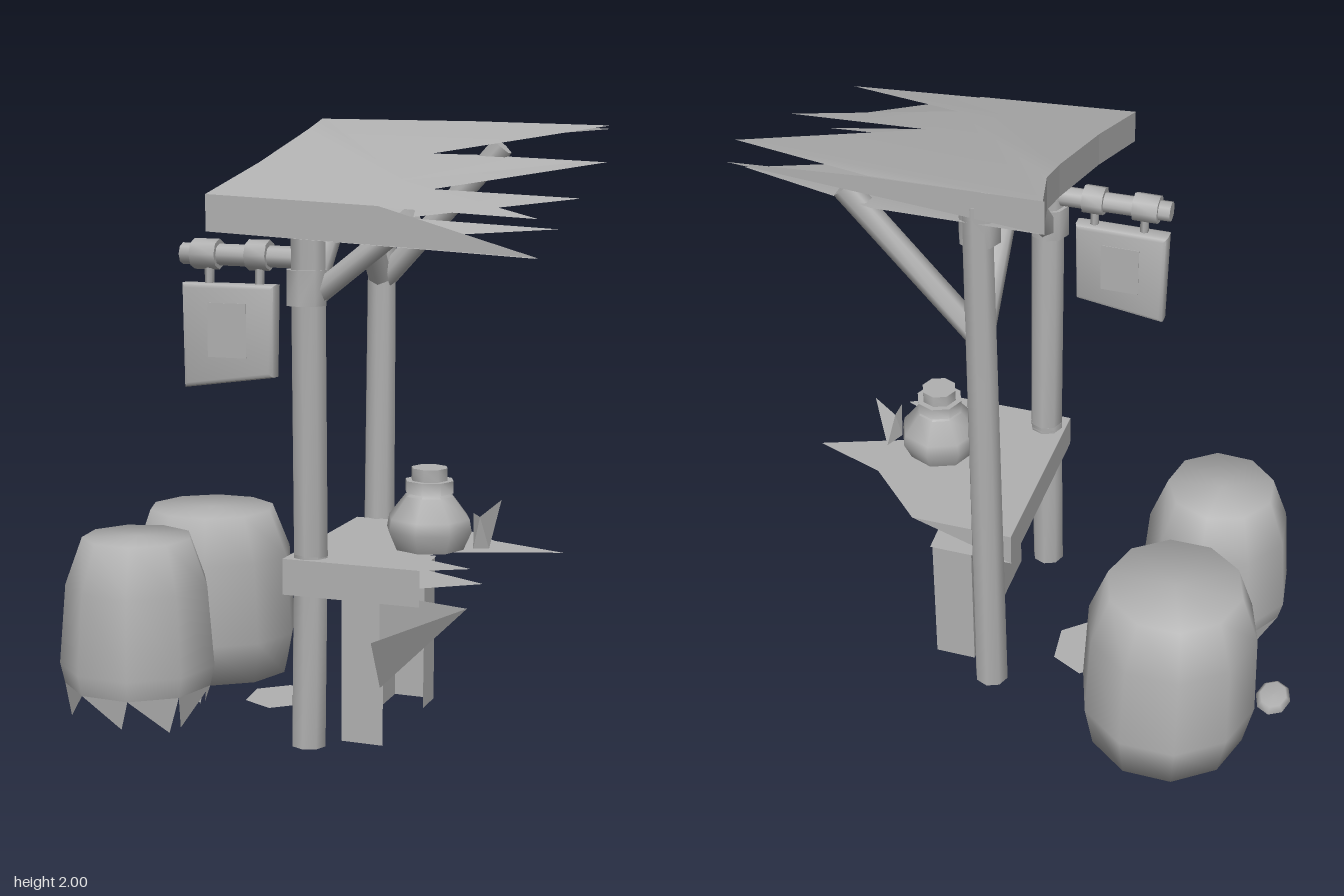
import * as THREE from 'three';
import { toCreasedNormals } from 'three/addons/utils/BufferGeometryUtils.js';

const stone = new THREE.MeshStandardMaterial({ color: 0xb0b0b0, side: THREE.DoubleSide });
stone.name = 'plain grey';
const V = (p) => new THREE.Vector3(...p);

function add(parent, name, geometry, x = 0, y = 0, z = 0) {
  const mesh = new THREE.Mesh(geometry, stone);
  mesh.name = name;
  mesh.position.set(x, y, z);
  parent.add(mesh);
  return mesh;
}

// Round timber between two points
function timber(parent, name, a, b, r0, r1 = r0, sides = 8) {
  const from = V(a), to = V(b), dir = to.clone().sub(from);
  const geo = toCreasedNormals(new THREE.CylinderGeometry(r1, r0, dir.length(), sides), 1.1);
  const mesh = add(parent, name, geo);
  mesh.position.copy(from).add(to).multiplyScalar(0.5);
  mesh.quaternion.setFromUnitVectors(new THREE.Vector3(0, 1, 0), dir.normalize());
  return mesh;
}

// Smooth turned form from [radius, height] pairs
function turned(profile, sides) {
  return new THREE.LatheGeometry(profile.map(([r, y]) => new THREE.Vector2(r, y)), sides);
}

// Loose triangles, three points each
function triangles(points) {
  const geo = new THREE.BufferGeometry();
  geo.setAttribute('position', new THREE.Float32BufferAttribute(points.flat(), 3));
  geo.computeVertexNormals();
  return geo;
}

const quad = (a, b, c, d) => [a, b, c, a, c, d];

// Flat sheet from an [x, z] outline, its height given by a rule
function sheet(outline, height) {
  const geo = new THREE.ShapeGeometry(new THREE.Shape(outline.map(([x, z]) => new THREE.Vector2(x, -z))));
  geo.rotateX(-Math.PI / 2);
  const p = geo.attributes.position;
  for (let i = 0; i < p.count; i++) p.setY(i, height(p.getX(i), p.getZ(i)));
  geo.computeVertexNormals();
  return geo;
}

function roof(parent) {
  const top = (x, z) => Math.min(2, 1.775 + (0.64 - z) * 0.257) - (0.037 + 0.04 * z) * Math.max(0, x);
  const low = (x, z) => top(x, z) - 0.11;
  const edge = [[-0.095, -0.375], [-0.065, -0.24], [-0.06, -0.1], [-0.07, 0.3], [-0.1, 0.64]];
  add(parent, 'roofTop', sheet([...edge, [0.91, 0.64], [0.44, 0.4], [0.91, 0.13], [0.44, 0.12],
    [0.91, -0.26], [0.44, -0.37]], top));
  add(parent, 'roofUnderside', sheet([...edge, [0.91, 0.64], [0.6, 0.52], [0.91, 0.4], [0.44, 0.4],
    [0.91, 0.13], [0.44, 0.12], [0.91, -0.22], [0.44, -0.365]], low));
  // Closed end at the side
  const at = (q, f) => [q[0], f(...q), q[1]];
  const side = [];
  for (let i = 0; i < edge.length - 1; i++) {
    const [a, b] = [edge[i], edge[i + 1]];
    side.push(...quad(at(a, low), at(b, low), at(b, top), at(a, top)));
  }
  add(parent, 'roofEnd', triangles(side));
  // Tapering front and back boards
  const board = (name, z, tip) => add(parent, name, triangles(
    quad([-0.1, low(-0.1, z), z], tip, [0.44, top(0.44, z), z], [-0.1, top(-0.1, z), z])));
  board('frontRoofBoard', 0.64, [0.91, 1.61, 0.64]);
  board('backRoofBoard', -0.375, [0.89, 1.965, -0.375]);
}

function frame(parent) {
  // Posts with collars and caps
  timber(parent, 'frontPostLower', [0.115, 0.02, 0.35], [0.12, 0.66, 0.345], 0.057);
  timber(parent, 'frontPostUpper', [0.12, 0.64, 0.345], [0.12, 1.74, 0.372], 0.057);
  timber(parent, 'frontPostCollar', [0.115, 1.43, 0.37], [0.115, 1.54, 0.37], 0.066);
  timber(parent, 'frontPostCap', [0.12, 1.64, 0.37], [0.12, 1.72, 0.37], 0.066);
  timber(parent, 'backPost', [0.115, 0.02, -0.32], [0.12, 1.94, -0.33], 0.058, 0.048);
  timber(parent, 'backPostCap', [0.12, 1.8, -0.31], [0.12, 1.92, -0.31], 0.066);
  // Diagonal braces
  timber(parent, 'frontBrace', [0.12, 1.46, 0.345], [0.12, 1.86, -0.02], 0.04, 0.04, 6);
  timber(parent, 'backBrace', [0.12, 1.44, -0.33], [0.12, 1.86, 0], 0.04, 0.04, 6);
  timber(parent, 'frontSideBrace', [0.13, 1.45, 0.36], [0.46, 1.71, 0.36], 0.037, 0.037, 6);
  timber(parent, 'backSideBrace', [0.13, 1.46, -0.32], [0.54, 1.91, -0.32], 0.04, 0.04, 6);
}

function sign(parent) {
  const z = 0.37;
  timber(parent, 'signBeam', [-0.3, 1.58, z], [0.12, 1.575, z], 0.034);
  for (const [x0, x1] of [[-0.26, -0.175], [-0.075, -0.005]])
    timber(parent, 'signBeamCollar', [x0, 1.58, z], [x1, 1.58, z], 0.048);
  for (const x of [-0.21, -0.04])
    timber(parent, 'signHanger', [x, 1.47, z], [x, 1.56, z], 0.015, 0.015, 6);
  // Slightly skewed hanging board
  const board = new THREE.Shape();
  board.moveTo(-0.275, 1.175);
  for (const [x, y] of [[0, 1.215], [0.005, 1.475], [-0.28, 1.475]]) board.lineTo(x, y);
  board.closePath();
  const geo = new THREE.ExtrudeGeometry(board, {
    depth: 0.034, bevelSize: 0.015, bevelThickness: 0.015, bevelSegments: 2 });
  add(parent, 'signBoard', toCreasedNormals(geo, 0.8), 0, 0, z - 0.017);
  for (const dz of [-0.032, 0.032])
    add(parent, 'signPanel', new THREE.BoxGeometry(0.13, 0.17, 0.004), -0.138, 1.345, z + dz);
}

function counter(parent) {
  // Hollow worktop, splintered along its outer edge
  const hi = 0.635, lo = 0.52;
  add(parent, 'worktopTop', sheet([[0.05, 0.41], [0.5, 0.41], [0.64, 0.33], [0.44, 0.24], [0.5, 0.14],
    [0.85, 0.01], [0.6, -0.08], [0.4, -0.28], [0.05, -0.28]], () => hi));
  add(parent, 'worktopUnderside', sheet([[0.05, 0.41], [0.5, 0.41], [0.35, 0.24], [0.6, 0.05],
    [0.35, -0.08], [0.34, -0.28], [0.05, -0.28]], () => lo));
  add(parent, 'worktopSide', triangles(
    quad([0.05, lo, -0.28], [0.05, lo, 0.41], [0.05, hi, 0.41], [0.05, hi, -0.28])));
  add(parent, 'worktopFront', triangles(
    quad([0.05, lo, 0.41], [0.5, lo, 0.41], [0.5, hi, 0.41], [0.05, hi, 0.41])));
  add(parent, 'worktopBack', triangles([[0.05, lo, -0.28], [0.05, hi, -0.28], [0.4, hi, -0.28]]));
  // Base panel, mostly open toward the outer side
  const [x0, x1, z0, z1, y0] = [0.2, 0.34, -0.26, 0.28, 0.02];
  add(parent, 'basePanel', triangles([
    ...quad([x0, y0, z0], [x0, y0, z1], [x0, lo, z1], [x0, lo, z0]),
    ...quad([x0, y0, z1], [x1, y0, z1], [x1, lo, z1], [x0, lo, z1]),
    ...quad([x1, y0, z0], [x0, y0, z0], [x0, lo, z0], [x1, lo, z0]),
    ...quad([x1, y0, -0.14], [x1, y0, z0], [x1, lo, z0], [x1, lo, -0.15]),
  ]));
  // Slanting bracket under the worktop
  const foot = [0.33, 0.21, 0.28], tip = [0.64, 0.52, 0.37];
  add(parent, 'bracket', triangles([foot, tip, [0.33, 0.52, 0.29], foot, tip, [0.33, 0.38, 0.37]]));
}

function jar(parent) {
  const geo = turned([[0, 0.64], [0.115, 0.64], [0.142, 0.7], [0.135, 0.74], [0.08, 0.81],
    [0.065, 0.82], [0.08, 0.82], [0.08, 0.86], [0.06, 0.86], [0.06, 0.9], [0, 0.9]], 8);
  add(parent, 'jar', toCreasedNormals(geo, 1.1), 0.433, 0, 0.105);
  // Broken piece beside the jar
  const a = [0.585, 0.65, 0.12], b = [0.62, 0.64, 0.06], c = [0.6, 0.75, 0.1];
  const d = [0.67, 0.81, 0.1], e = [0.59, 0.77, 0.14];
  add(parent, 'shard', triangles([a, b, c, b, d, c, a, c, e]));
}

function barrels(parent) {
  // Whole barrel, leaning a little
  const back = turned([[0, 0.02], [0.265, 0.02], [0.297, 0.17], [0.285, 0.46], [0.225, 0.62], [0, 0.622]], 10);
  back.rotateY(Math.PI / 2);
  back.applyMatrix4(new THREE.Matrix4().makeShear(0, 0, 0, 0.06, 0, 0));
  add(parent, 'backBarrel', back, -0.525, 0, -0.368);

  // Barrel with a jagged open bottom
  const sides = 9, group = new THREE.Group();
  group.name = 'frontBarrel';
  group.position.set(-0.555, 0, 0.21);
  group.rotation.y = 0.3;
  parent.add(group);
  add(group, 'frontBarrelBody', turned([[0.25, 0.12], [0.266, 0.19], [0.243, 0.46],
    [0.185, 0.62], [0, 0.622]], sides));
  const spikes = [];
  const at = (k, r, y) => {
    const t = (k / sides) * Math.PI * 2;
    return [Math.sin(t) * r, y, Math.cos(t) * r];
  };
  for (let i = 0; i < sides; i++) {
    const tip = i + (i % 2 ? 0.12 : 0.85);
    spikes.push(at(i, 0.25, 0.12), at(tip, 0.23, 0.01 * (i % 3)), at(i + 1, 0.25, 0.12));
  }
  add(group, 'frontBarrelSplinters', triangles(spikes));
}

function ground(parent) {
  // Flat slab and a loose pebble
  const slab = new THREE.CircleGeometry(0.125, 6);
  slab.rotateZ(Math.PI / 6 + 0.12).scale(0.95, 1.1, 1).rotateX(-Math.PI / 2);
  add(parent, 'groundSlab', slab, -0.163, 0.02, -0.09);
  const pebble = turned([[0.045, 0.045], [0.06, 0.065], [0.045, 0.08], [0, 0.082]], 8);
  add(parent, 'pebble', pebble, -0.857, 0, -0.185).scale.set(1, 1, 1.4);
}

export function createModel() {
  const model = new THREE.Group();
  model.name = 'roadsideStall';
  for (const build of [roof, frame, sign, counter, jar, barrels, ground]) {
    const part = new THREE.Group();
    part.name = build.name;
    build(part);
    model.add(part);
  }
  return model;
}
